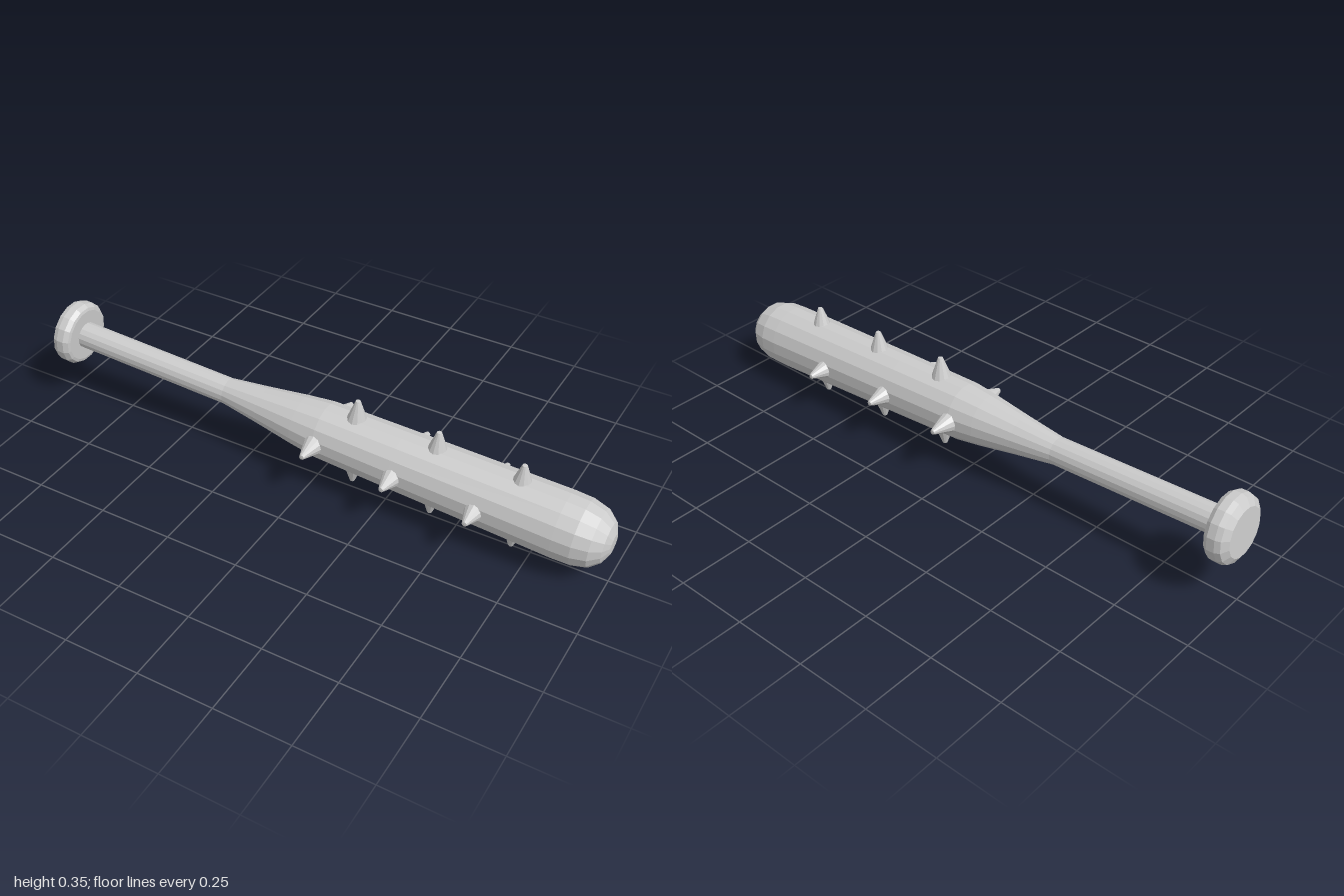
import * as THREE from 'three';

const SIDES = 16;
const material = new THREE.MeshStandardMaterial({ color: 0xcccccc, flatShading: true });

// Turned part along the x axis from [x, radius] pairs
function turned(name, profile) {
  const points = profile.map(([x, r]) => new THREE.Vector2(r, x));
  const geometry = new THREE.LatheGeometry(points, SIDES, Math.PI / SIDES);
  geometry.rotateZ(-Math.PI / 2);
  const mesh = new THREE.Mesh(geometry, material);
  mesh.name = name;
  return mesh;
}

// Blunt spike standing out from the barrel, angle measured around the x axis
function spike(name, x, angle) {
  const points = [[0.037, 0.08], [0.011, 0.153], [0.008, 0.161], [0, 0.162]]
    .map(([r, y]) => new THREE.Vector2(r, y));
  const mesh = new THREE.Mesh(new THREE.LatheGeometry(points, 12), material);
  mesh.name = name;
  mesh.position.x = x;
  mesh.rotation.x = angle;
  return mesh;
}

export function createModel() {
  const group = new THREE.Group();
  group.name = 'spikedBat';

  const bat = new THREE.Group();
  bat.name = 'bat';
  bat.position.y = 0.194;
  bat.rotation.z = -0.0485;
  group.add(bat);

  // End knob
  bat.add(turned('knob', [
    [-0.997, 0], [-0.997, 0.08], [-0.982, 0.104], [-0.965, 0.11],
    [-0.94, 0.11], [-0.925, 0.1], [-0.922, 0.09], [-0.922, 0],
  ]));

  // Handle flaring into the rounded barrel
  bat.add(turned('handleAndBarrel', [
    [-0.94, 0.045], [-0.34, 0.045], [-0.2, 0.064], [-0.06, 0.085], [0.03, 0.096],
    [0.3, 0.101], [0.84, 0.109], [0.9, 0.107], [0.95, 0.094],
    [0.983, 0.066], [0.998, 0.033], [0.999, 0],
  ]));

  // Four rows of three spikes, the side rows staggered
  const rows = [
    ['topSpike', 0, 0.135], ['bottomSpike', Math.PI, 0.135],
    ['frontSpike', Math.PI / 2, 0.033], ['backSpike', -Math.PI / 2, 0.033],
  ];
  for (const [name, angle, start] of rows) {
    for (let i = 0; i < 3; i++) bat.add(spike(name + (i + 1), start + i * 0.279, angle));
  }
  return group;
}
